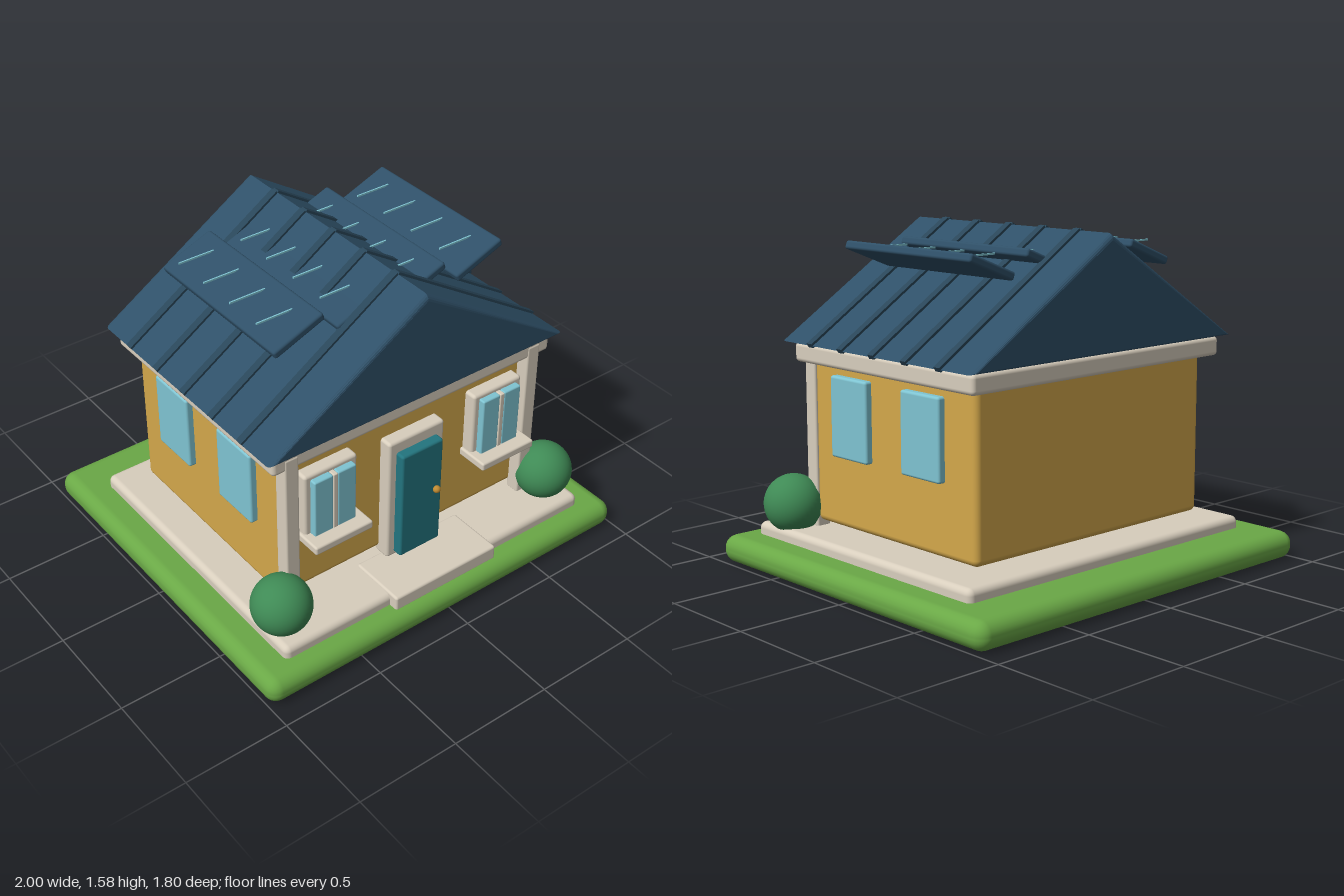
import * as THREE from 'three';
import { RoundedBoxGeometry } from 'three/addons/geometries/RoundedBoxGeometry.js';

const material = (name, color) => Object.assign(new THREE.MeshStandardMaterial({ color }), { name });

export function createModel() {
  const model = new THREE.Group();
  model.name = 'house';

  const grass = material('grass green', 0x6aa846);
  const stone = material('cream stone', 0xd8cebd);
  const ochre = material('ochre wall', 0xd4a84b);
  const slate = material('slate blue', 0x2f5068);
  const darkSlate = material('dark slate', 0x294659);
  const teal = material('door teal', 0x23757f);
  const glass = material('window glass', 0x7fc4d2);
  const leaf = material('bush green', 0x3f8a55);
  const brass = material('brass', 0xbf8a32);

  const add = (name, geometry, mat, parent = model) => {
    const mesh = new THREE.Mesh(geometry, mat);
    mesh.name = name;
    parent.add(mesh);
    return mesh;
  };
  // Rounded box given by its limits on each axis
  const block = (name, mat, [x0, x1], [y0, y1], [z0, z1], r = 0.01, parent = model) => {
    const mesh = add(name, new RoundedBoxGeometry(x1 - x0, y1 - y0, z1 - z0, 3, r), mat, parent);
    mesh.position.set((x0 + x1) / 2, (y0 + y1) / 2, (z0 + z1) / 2);
    return mesh;
  };

  // Ground, paving and step
  block('lawn', grass, [-1, 1], [0, 0.13], [-0.9, 0.9], 0.06);
  block('paving', stone, [-0.855, 0.855], [0.1, 0.187], [-0.675, 0.8], 0.03);
  block('frontStep', stone, [-0.29, 0.29], [0.12, 0.197], [0.56, 0.845], 0.012);

  // Body of the house
  block('walls', ochre, [-0.7, 0.7], [0.215, 0.98], [-0.545, 0.545], 0.03);
  block('eaveBeam', stone, [-0.765, 0.765], [0.955, 1.045], [-0.6, 0.605], 0.02);

  // Gabled roof with softened ends
  const bevel = 0.025;
  const gable = new THREE.Shape([
    new THREE.Vector2(-0.805, 1.05), new THREE.Vector2(0.805, 1.05), new THREE.Vector2(0, 1.567)]);
  const roof = add('roof', new THREE.ExtrudeGeometry(gable, {
    depth: 1.284 - 2 * bevel, bevelThickness: bevel, bevelSize: bevel, bevelOffset: -bevel, bevelSegments: 4,
  }), slate);
  roof.position.z = -0.64 + bevel;

  // Seams running down both slopes
  const pitch = Math.atan2(0.517, 0.805);
  for (const side of [-1, 1]) {
    for (let i = -2; i <= 2; i++) {
      const seam = add('roofSeam', new THREE.BoxGeometry(0.957, 0.022, 0.036), darkSlate);
      seam.position.set(side * 0.4025, 1.3085, i * 0.215);
      seam.rotation.z = -side * pitch;
    }
  }

  // Four tilted panels, each crossed by level rods
  for (let i = 0; i < 4; i++) {
    const unit = new THREE.Group();
    unit.name = 'roofPanel';
    unit.position.set((i - 1.5) * 0.323, 1.44, 0);
    model.add(unit);
    const panel = add('panel', new RoundedBoxGeometry(0.27, 0.04, 0.835, 3, 0.012), slate, unit);
    panel.rotation.z = 0.375;
    for (let j = 0; j < 4; j++) {
      const rod = add('panelRod', new THREE.BoxGeometry(0.245, 0.008, 0.007), glass, unit);
      rod.position.set(0, 0.04, (j - 1.5) * 0.193 - 0.003);
    }
  }

  // Door
  block('doorFrame', stone, [-0.155, 0.155], [0.19, 0.84], [0.52, 0.607], 0.015);
  block('door', teal, [-0.115, 0.115], [0.21, 0.78], [0.56, 0.652], 0.012);
  add('doorKnob', new THREE.SphereGeometry(0.018, 20, 14), brass).position.set(0.08, 0.515, 0.66);

  for (const side of [-1, 1]) {
    // Corner post
    const px = side * 0.67;
    block('cornerPost', stone, [px - 0.036, px + 0.036], [0.18, 1.017], [0.535, 0.608], 0.01);

    // Front window
    const front = new THREE.Group();
    front.name = 'frontWindow';
    front.position.x = side * 0.467;
    model.add(front);
    block('windowFrame', stone, [-0.14, 0.14], [0.53, 0.88], [0.52, 0.605], 0.015, front);
    block('windowPane', glass, [-0.11, -0.012], [0.55, 0.857], [0.58, 0.637], 0.008, front);
    block('windowPane', glass, [0.012, 0.11], [0.55, 0.857], [0.58, 0.637], 0.008, front);
    block('mullion', stone, [-0.012, 0.012], [0.55, 0.857], [0.58, 0.639], 0.005, front);
    block('windowSill', stone, [-0.153, 0.153], [0.525, 0.567], [0.53, 0.703], 0.01, front);

    // Side windows
    for (const z of [0.26, -0.225]) {
      const pane = block('sideWindow', glass, [-0.03, 0.03], [0.545, 0.915], [z - 0.126, z + 0.126], 0.012);
      pane.position.x = side * 0.704;
    }

    // Round bush
    add('bush', new THREE.SphereGeometry(0.138, 40, 28), leaf).position.set(side * 0.763, 0.287, 0.642);
  }

  return model;
}
